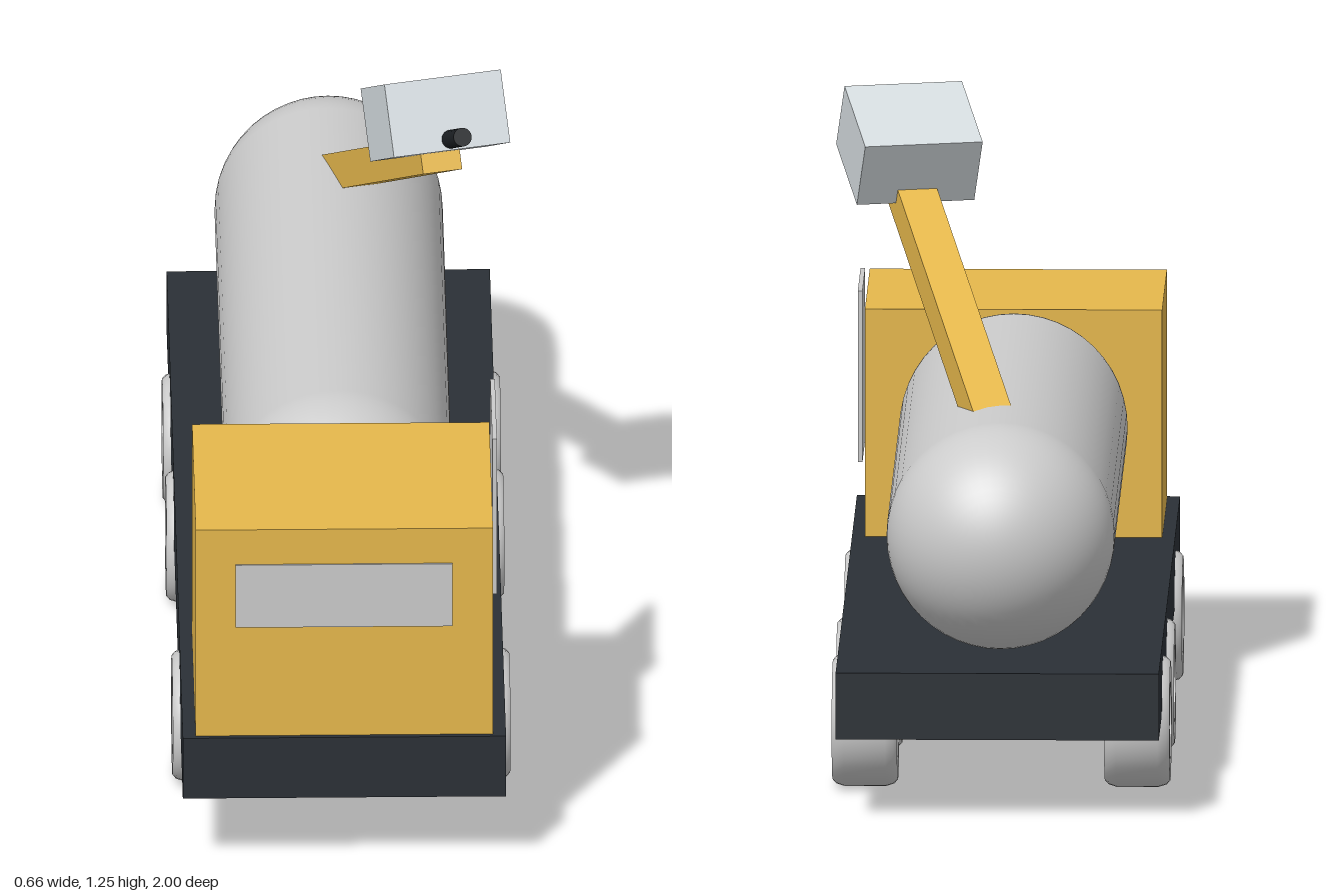
import * as THREE from 'three';
import { toCreasedNormals } from 'three/addons/utils/BufferGeometryUtils.js';

const paint = (color) => new THREE.MeshStandardMaterial({ color });
const yellow = paint(0xe6b84c);
const dark = paint(0x2b3036);
const black = paint(0x1c2024);
const grey = paint(0xcccccc);
const pale = paint(0xd4dbdf);

function add(parent, name, geometry, material, x = 0, y = 0, z = 0) {
  const mesh = new THREE.Mesh(geometry, material);
  mesh.name = name;
  mesh.position.set(x, y, z);
  parent.add(mesh);
  return mesh;
}

// Box given by its lower and upper corners
function addBox(parent, name, material, [x0, y0, z0], [x1, y1, z1]) {
  return add(parent, name, new THREE.BoxGeometry(x1 - x0, y1 - y0, z1 - z0), material,
    (x0 + x1) / 2, (y0 + y1) / 2, (z0 + z1) / 2);
}

// Tyre with bevelled shoulders and a dished hub on both sides
function wheelGeometry() {
  const half = [[0, 0.015], [0.072, 0.03], [0.075, 0.063], [0.115, 0.063], [0.123, 0.056], [0.128, 0.04]];
  const profile = [
    ...half.map(([r, h]) => new THREE.Vector2(r, -h)),
    ...half.slice().reverse().map(([r, h]) => new THREE.Vector2(r, h)),
  ];
  const geometry = new THREE.LatheGeometry(profile, 40).rotateZ(-Math.PI / 2);
  return toCreasedNormals(geometry, Math.PI / 5);
}

export function createModel() {
  const model = new THREE.Group();
  model.name = 'tankTruck';
  const midX = -0.004;

  // Body
  addBox(model, 'chassis', dark, [-0.315, 0.16, -0.985], [0.308, 0.29, 1]);
  addBox(model, 'cab', yellow, [-0.29, 0.29, 0.54], [0.283, 0.735, 0.99]);
  addBox(model, 'windshield', grey, [-0.213, 0.525, 0.97], [0.205, 0.66, 0.993]);
  addBox(model, 'sidePanel', grey, [0.286, 0.45, 0.455], [0.295, 0.785, 0.71]);

  // Tank with domed ends, the front one running into the cab
  const tank = new THREE.CapsuleGeometry(0.22, 1.2, 16, 48).rotateX(Math.PI / 2);
  add(model, 'tank', tank, grey, midX - 0.002, 0.525, -0.18);

  // Three axles with a wheel at each end
  const wheel = wheelGeometry();
  const axle = new THREE.CylinderGeometry(0.023, 0.023, 0.5, 20).rotateZ(Math.PI / 2);
  for (const z of [0.585, -0.175, -0.59]) {
    add(model, 'axle', axle, black, midX, 0.132, z);
    for (const side of [-1, 1]) add(model, 'wheel', wheel, grey, midX + side * 0.2625, 0.13, z);
  }

  // Raised arm: local +z runs along the boom, the group sits at the head's centre
  const arm = new THREE.Group();
  arm.name = 'arm';
  arm.position.set(0.187, 1.147, 0.045);
  arm.rotation.set(-0.497, 0.262, 0, 'YXZ');
  model.add(arm);
  add(arm, 'head', new THREE.BoxGeometry(0.233, 0.142, 0.19), pale);
  add(arm, 'boom', new THREE.BoxGeometry(0.078, 0.07, 0.84), yellow, 0, -0.074, -0.421);
  const nozzle = new THREE.CylinderGeometry(0.018, 0.018, 0.13, 20).rotateX(Math.PI / 2);
  add(arm, 'nozzle', nozzle, black, 0, -0.05, 0.125);

  return model;
}
